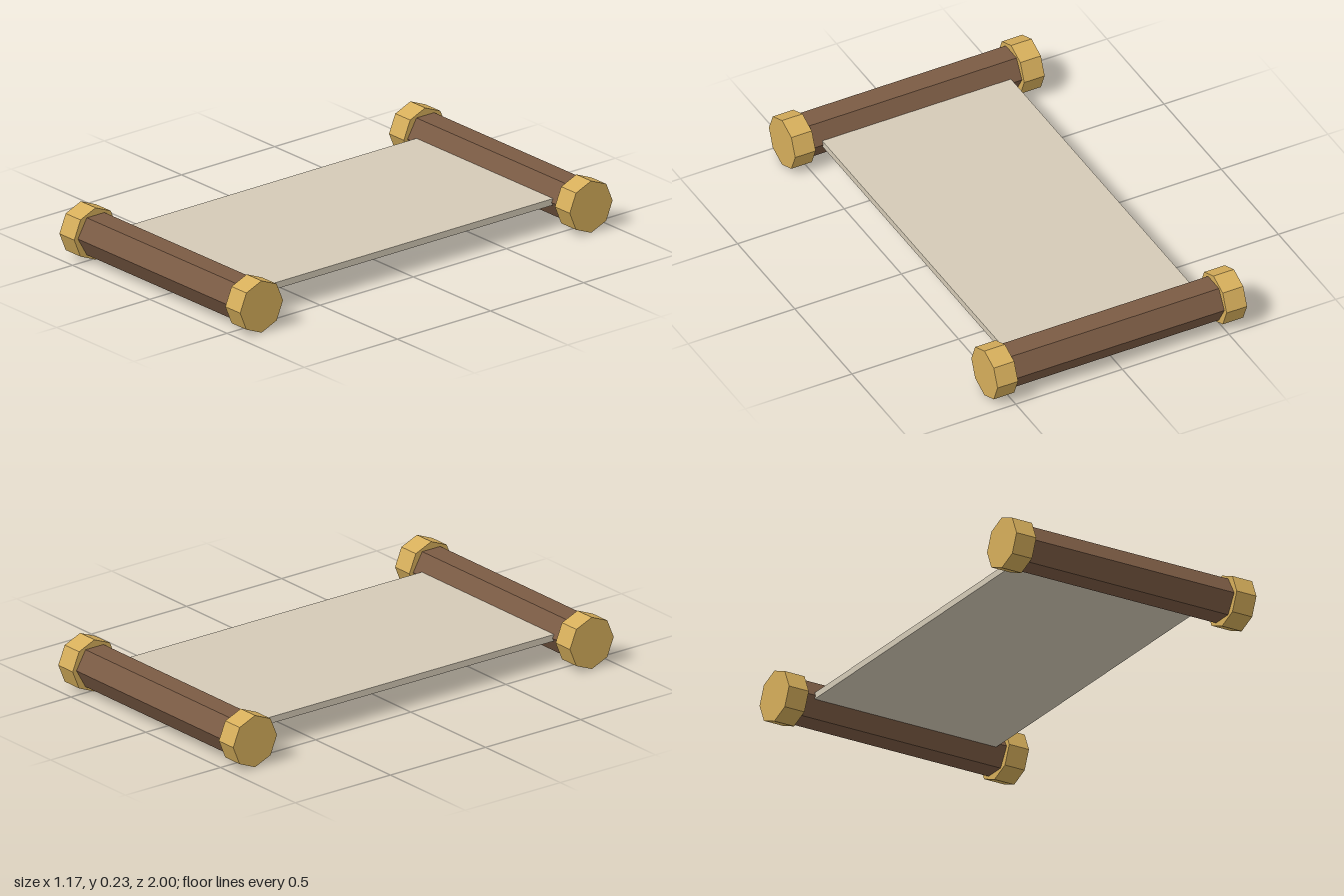
import * as THREE from 'three';

const Y = 0.115; // height of the roller axes
const Z = 0.885; // distance of the roller axes from the centre

const material = (color) => new THREE.MeshStandardMaterial({ color, flatShading: true });

// Prism lying along x, with a corner pointing to +z
function prism(name, radius, length, sides, mat, x, z) {
  const geometry = new THREE.CylinderGeometry(radius, radius, length, sides).rotateZ(Math.PI / 2);
  const mesh = new THREE.Mesh(geometry, mat);
  mesh.name = name;
  mesh.position.set(x, Y, z);
  return mesh;
}

export function createModel() {
  const model = new THREE.Group();
  model.name = 'scroll';
  const wood = material(0x7b5b44);
  const gold = material(0xd6ae5b);
  const paper = material(0xd4cab6);

  // Unrolled sheet, its ends set into the rollers
  const sheet = new THREE.Mesh(new THREE.BoxGeometry(0.885, 0.029, 2 * Z), paper);
  sheet.name = 'sheet';
  sheet.position.y = Y + 0.001;
  model.add(sheet);

  // Hexagonal rollers with octagonal end caps
  for (const [end, z] of [['front', Z], ['back', -Z]]) {
    const roller = new THREE.Group();
    roller.name = end + 'Roller';
    roller.add(prism(end + 'Rod', 0.095, 1.0, 6, wood, 0, z));
    for (const [side, s] of [['Left', 1], ['Right', -1]]) {
      roller.add(prism(end + side + 'Cap', 0.115, 0.096, 8, gold, s * 0.537, z));
    }
    model.add(roller);
  }
  return model;
}
